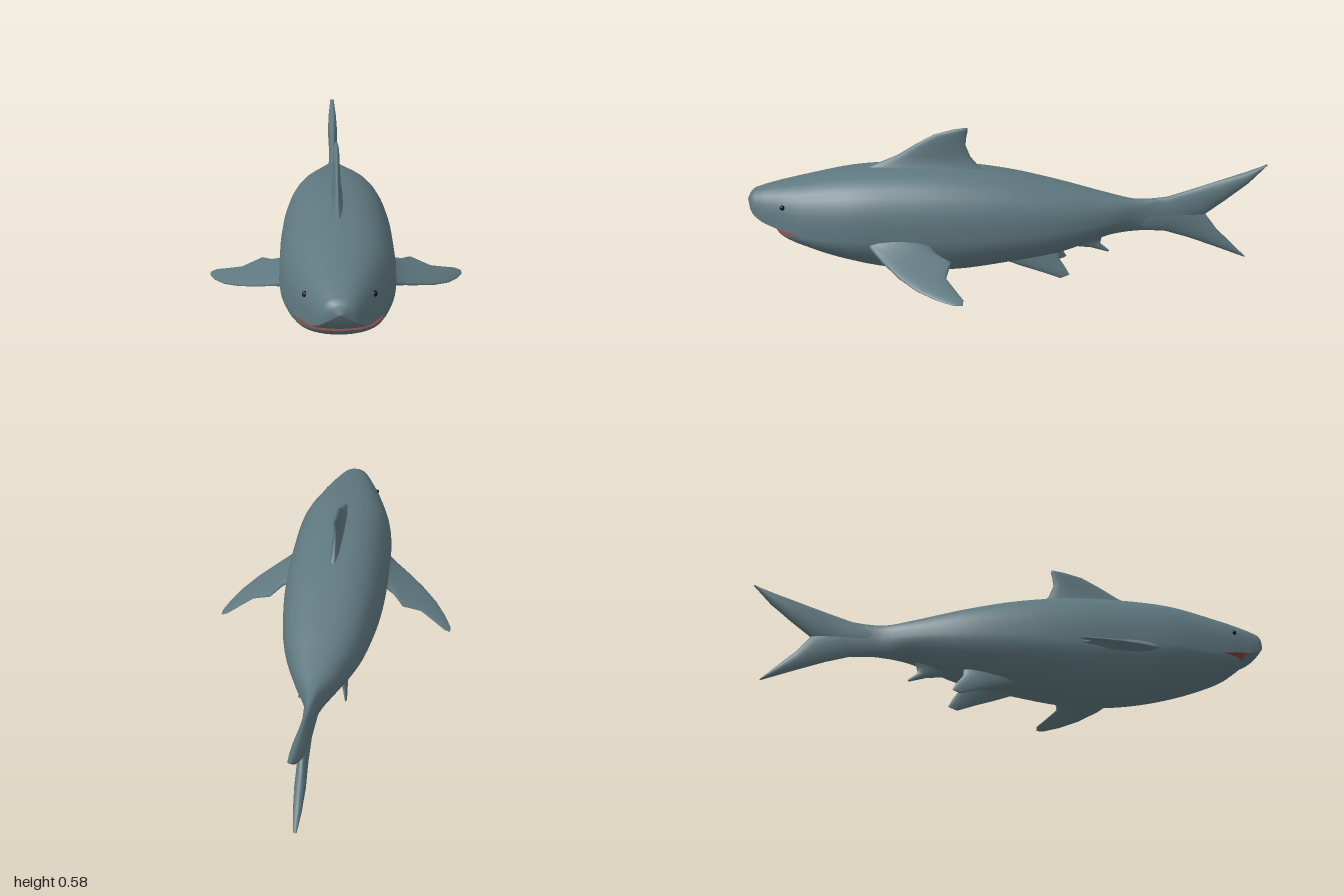
import * as THREE from 'three';
import { mergeGeometries, mergeVertices } from 'three/addons/utils/BufferGeometryUtils.js';

const V = (x, y, z) => new THREE.Vector3(x, y, z);
const skin = new THREE.MeshStandardMaterial({ color: 0x5f7880, side: THREE.DoubleSide });
const mouthRed = new THREE.MeshStandardMaterial({ color: 0x8c463f, side: THREE.DoubleSide });
const black = new THREE.MeshStandardMaterial({ color: 0x101010 });

// Skin a list of equally long rows of points
function loft(rows) {
  const n = rows[0].length, pos = [], idx = [];
  rows.forEach(r => r.forEach(p => pos.push(p.x, p.y, p.z)));
  for (let i = 0; i < rows.length - 1; i++) {
    for (let j = 0; j < n - 1; j++) {
      const a = i * n + j, b = a + n;
      idx.push(a, b, b + 1, a, b + 1, a + 1);
    }
  }
  const g = new THREE.BufferGeometry();
  g.setAttribute('position', new THREE.Float32BufferAttribute(pos, 3));
  g.setIndex(idx);
  return g;
}

function smooth(g) {
  const m = mergeVertices(g, 1e-5);
  m.computeVertexNormals();
  return m;
}

function mesh(name, geometry, material = skin) {
  const m = new THREE.Mesh(geometry, material);
  m.name = name;
  return m;
}

// Body stations, tail to nose: z, top, side line, belly, half width
const stations = [
  [-0.68, 0.29, 0.236, 0.19, 0.01],
  [-0.6, 0.3, 0.236, 0.172, 0.018],
  [-0.5, 0.297, 0.235, 0.166, 0.032],
  [-0.4, 0.315, 0.23, 0.155, 0.078],
  [-0.2, 0.365, 0.22, 0.088, 0.148],
  [0, 0.41, 0.21, 0.054, 0.185],
  [0.2, 0.435, 0.205, 0.026, 0.202],
  [0.4, 0.44, 0.205, 0.03, 0.204],
  [0.6, 0.428, 0.205, 0.07, 0.195],
  [0.78, 0.396, 0.205, 0.133, 0.149],
  [0.85, 0.382, 0.222, 0.168, 0.122],
  [0.9, 0.371, 0.232, 0.203, 0.1],
  [0.95, 0.357, 0.252, 0.203, 0.076],
  [0.985, 0.34, 0.28, 0.203, 0.047],
  [1, 0.312, 0.308, 0.203, 0.006],
];
const JAW_BACK = 0.78, JAW_TIP = 0.9, LIP = 0.205;
const curve = new THREE.CubicInterpolant(
  stations.map(s => s[0]), stations.flatMap(s => s.slice(1)), 4, new Float32Array(4));

function section(z) {
  const [top, seam, bottom, w] = curve.evaluate(z);
  return { top, seam, bottom, w };
}

// Half of a cross-section: angles 0..PI are the back, PI..2PI the belly
function arc(z, w, seam, height, power, start) {
  return Array.from({ length: 19 }, (_, k) => {
    const a = start + Math.PI * k / 18;
    const f = v => (Math.abs(v) < 1e-9 ? 0 : Math.sign(v) * Math.abs(v) ** (2 / power));
    return V(w * f(Math.cos(a)), seam + height * f(Math.sin(a)), z);
  });
}

function upper(z) {
  const s = section(z);
  return arc(z, s.w, s.seam, s.top - s.seam, 2.5, 0);
}

function lower(z) {
  const s = section(z);
  const u = Math.max(0, (z - JAW_BACK) / (JAW_TIP - JAW_BACK));
  const seam = z > JAW_BACK ? LIP : s.seam;
  const w = s.w * Math.sqrt(Math.max(0, 1 - u ** 4));
  return arc(z, w, seam, seam - s.bottom, 1.95, Math.PI);
}

function snoutUnderside(z) {
  const s = section(z);
  const depth = 0.012 * Math.sin(Math.PI * (z - JAW_TIP) / (1 - JAW_TIP));
  return arc(z, s.w, s.seam, depth, 2, Math.PI);
}

function buildBody() {
  const zs = [];
  for (let i = stations.length - 1; i > 0; i--) {
    for (let k = 0; k < 4; k++) {
      zs.push(THREE.MathUtils.lerp(stations[i][0], stations[i - 1][0], k / 4));
    }
  }
  zs.push(stations[0][0]);
  const jaw = zs.filter(z => z <= JAW_TIP + 1e-6);
  const snout = zs.filter(z => z >= JAW_TIP - 1e-6);
  const mouth = jaw.filter(z => z >= JAW_BACK - 1e-6);
  const body = mesh('body', smooth(mergeGeometries([
    loft(zs.map(upper)), loft(jaw.map(lower)), loft(snout.map(snoutUnderside)),
  ])));
  // Flat roof and floor inside the open mouth
  const ends = row => [row[row.length - 1], row[0]];
  const roof = mesh('mouthRoof', smooth(loft(mouth.map(z => ends(upper(z))))), mouthRed);
  const floor = mesh('mouthFloor', smooth(loft(mouth.map(z => ends(lower(z))))), mouthRed);
  return [body, roof, floor];
}

// Fin from chords: [leading point, trailing point, half thickness]
function fin(name, normal, chords) {
  const rows = chords.map(([lead, trail, t]) => Array.from({ length: 17 }, (_, k) => {
    const a = (k % 16) / 16 * Math.PI * 2;
    return lead.clone().lerp(trail, 0.5 - 0.5 * Math.cos(a))
      .addScaledVector(normal, t * Math.sin(a));
  }));
  const [lead, trail] = chords[chords.length - 1];
  rows.push(rows[0].map(() => lead.clone().lerp(trail, 0.5)));
  return mesh(name, smooth(loft(rows)));
}

// Fin in the centre plane: rows of lead z, lead y, trail z, trail y, half thickness
const midFin = (name, rows) => fin(name, V(1, 0, 0),
  rows.map(([lz, ly, tz, ty, t]) => [V(0, ly, lz), V(0, ty, tz), t]));

function addPair(group, name, build) {
  const left = build();
  left.name = 'left' + name;
  const right = left.clone();
  right.name = 'right' + name;
  right.scale.x = -1;
  group.add(left, right);
}

export function createModel() {
  const model = new THREE.Group();
  model.name = 'shark';
  model.add(...buildBody());

  model.add(midFin('dorsalFin', [
    [0.58, 0.415, 0.06, 0.405, 0.04],
    [0.51, 0.445, 0.11, 0.435, 0.02],
    [0.42, 0.482, 0.142, 0.475, 0.014],
    [0.35, 0.525, 0.16, 0.52, 0.012],
    [0.28, 0.563, 0.156, 0.555, 0.011],
    [0.21, 0.581, 0.151, 0.575, 0.009],
    [0.17, 0.587, 0.151, 0.588, 0.005],
  ]));
  model.add(midFin('upperTailLobe', [
    [-0.5, 0.292, -0.5, 0.19, 0.026],
    [-0.62, 0.307, -0.67, 0.19, 0.018],
    [-0.71, 0.336, -0.77, 0.232, 0.018],
    [-0.81, 0.37, -0.845, 0.29, 0.021],
    [-0.91, 0.403, -0.93, 0.36, 0.017],
    [-0.99, 0.432, -1, 0.435, 0.008],
  ]));
  model.add(midFin('lowerTailLobe', [
    [-0.5, 0.17, -0.5, 0.27, 0.026],
    [-0.62, 0.163, -0.67, 0.28, 0.018],
    [-0.71, 0.136, -0.77, 0.238, 0.018],
    [-0.8, 0.103, -0.82, 0.172, 0.02],
    [-0.88, 0.073, -0.885, 0.108, 0.015],
    [-0.935, 0.052, -0.942, 0.052, 0.006],
  ]));
  model.add(midFin('analFin', [
    [-0.2, 0.115, -0.4, 0.17, 0.03],
    [-0.26, 0.102, -0.37, 0.137, 0.018],
    [-0.33, 0.095, -0.365, 0.112, 0.01],
    [-0.395, 0.076, -0.402, 0.082, 0.004],
  ]));

  // Pectoral fins: x, leading z, trailing z, half thickness
  addPair(model, 'PectoralFin', () => fin('pectoralFin', V(0.36, 0.93, 0), [
    [0.16, 0.56, 0.29, 0.035],
    [0.2, 0.52, 0.29, 0.022],
    [0.235, 0.495, 0.265, 0.014],
    [0.275, 0.465, 0.21, 0.011],
    [0.35, 0.4, 0.228, 0.009],
    [0.41, 0.33, 0.19, 0.007],
    [0.45, 0.26, 0.163, 0.005],
    [0.474, 0.2, 0.165, 0.002],
  ].map(([x, lead, trail, t]) => {
    const y = 0.186 - 0.39 * (x - 0.2);
    return [V(x, y, lead), V(x, y, trail), t];
  })));

  addPair(model, 'PelvicFin', () => fin('pelvicFin', V(0.9, 0.4, 0), [
    [V(0.06, 0.075, 0.03), V(0.065, 0.12, -0.2), 0.025],
    [V(0.075, 0.048, -0.06), V(0.075, 0.08, -0.2), 0.016],
    [V(0.084, 0.025, -0.14), V(0.084, 0.05, -0.222), 0.009],
    [V(0.091, 0.004, -0.205), V(0.091, 0.018, -0.24), 0.004],
  ]));

  addPair(model, 'Eye', () => {
    const eye = mesh('eye', new THREE.SphereGeometry(0.01, 16, 12), black);
    const s = section(0.85);
    const h = (0.31 - s.seam) / (s.top - s.seam);
    eye.position.set(s.w * (1 - h ** 2.5) ** 0.4 - 0.002, 0.31, 0.85);
    return eye;
  });
  // mirrored eye sits on the other side
  model.getObjectByName('rightEye').position.x *= -1;
  return model;
}
